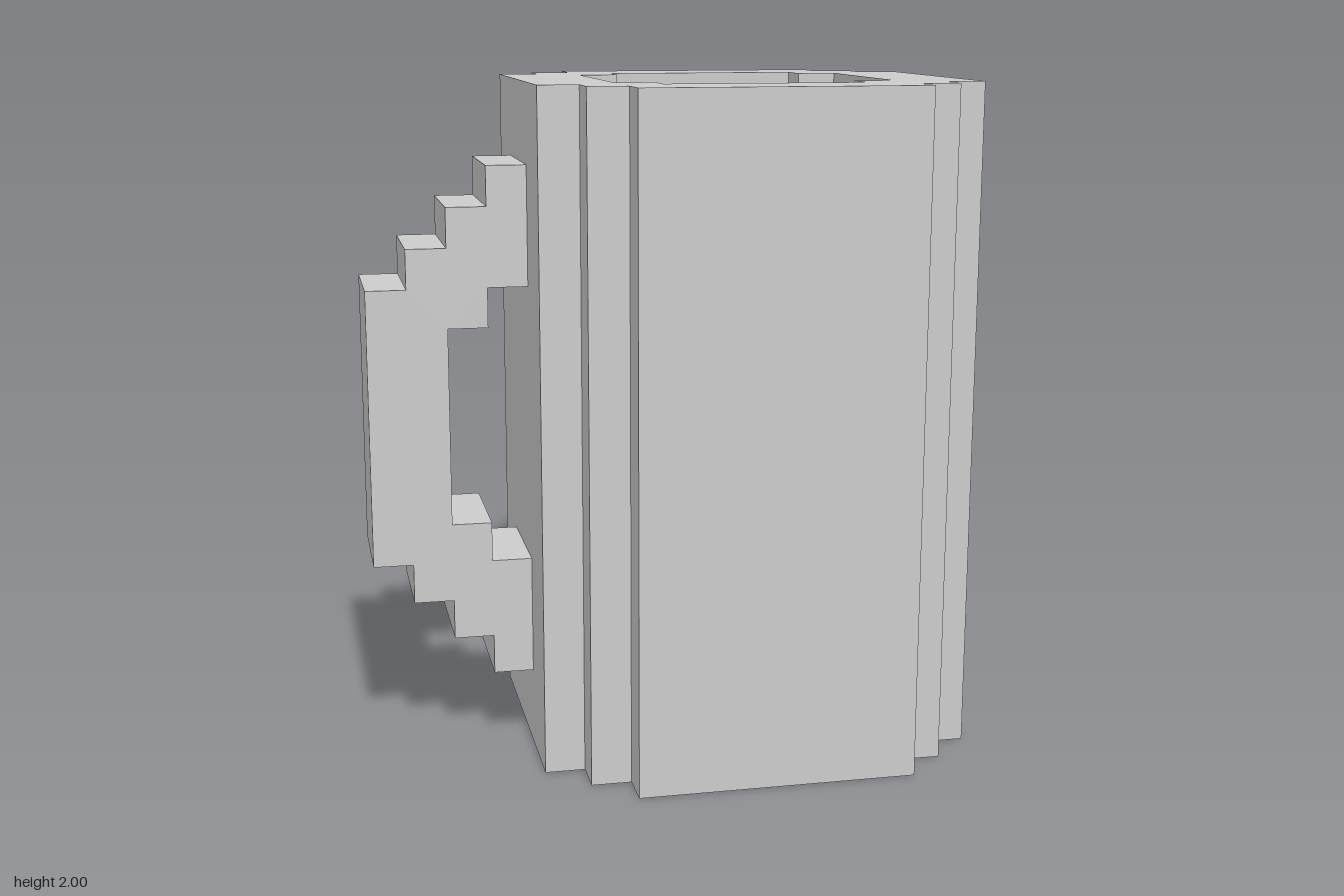
import * as THREE from 'three';

const U = 2 / 17; // one block
const material = new THREE.MeshStandardMaterial({ color: 0xcccccc, flatShading: true });

const toPoints = (list) => list.map(([x, y]) => new THREE.Vector2(x * U, y * U));

// Closed outline, symmetric in both axes, from the corner steps of one quadrant
function steppedOutline(quadrant) {
  const flipped = [...quadrant].reverse();
  return toPoints([
    ...quadrant,
    ...flipped.map(([x, y]) => [-x, y]),
    ...quadrant.map(([x, y]) => [-x, -y]),
    ...flipped.map(([x, y]) => [x, -y]),
  ]);
}

function extrude(name, shape, depth) {
  const geometry = new THREE.ExtrudeGeometry(shape, { depth: depth * U, bevelEnabled: false });
  const mesh = new THREE.Mesh(geometry, material);
  mesh.name = name;
  return mesh;
}

export function createModel() {
  const model = new THREE.Group();
  model.name = 'mug';

  const outer = steppedOutline([[5.5, 3.5], [4.5, 3.5], [4.5, 4.5], [3.5, 4.5], [3.5, 5.5]]);
  const inner = steppedOutline([[3.5, 2.5], [2.5, 2.5], [2.5, 3.5]]);
  const floorHeight = 2;

  // Cup: solid floor below a hollow wall
  const cup = new THREE.Group();
  cup.name = 'cup';
  const floor = extrude('floor', new THREE.Shape(outer), floorHeight);
  const wallShape = new THREE.Shape(outer);
  wallShape.holes.push(new THREE.Path(inner));
  const wall = extrude('wall', wallShape, 17 - floorHeight);
  wall.position.z = floorHeight * U;
  cup.add(floor, wall);
  cup.rotation.x = -Math.PI / 2;
  cup.position.x = 2 * U;

  // Handle: stepped arch, mirrored about its mid-height
  const upper = [
    [-3.5, 3.5], [-3.5, 6.5], [-4.5, 6.5], [-4.5, 5.5], [-5.5, 5.5],
    [-5.5, 4.5], [-6.5, 4.5], [-6.5, 3.5], [-7.5, 3.5],
  ];
  const upperInside = [[-5.5, 2.5], [-4.5, 2.5], [-4.5, 3.5]];
  const mirror = (list) => [...list].reverse().map(([x, y]) => [x, -y]);
  const handleShape = new THREE.Shape(
    toPoints([...upper, ...mirror(upper), ...mirror(upperInside), ...upperInside])
  );
  const handle = extrude('handle', handleShape, 3);
  handle.position.set(0, 8.5 * U, -1.5 * U);

  model.add(cup, handle);
  return model;
}
